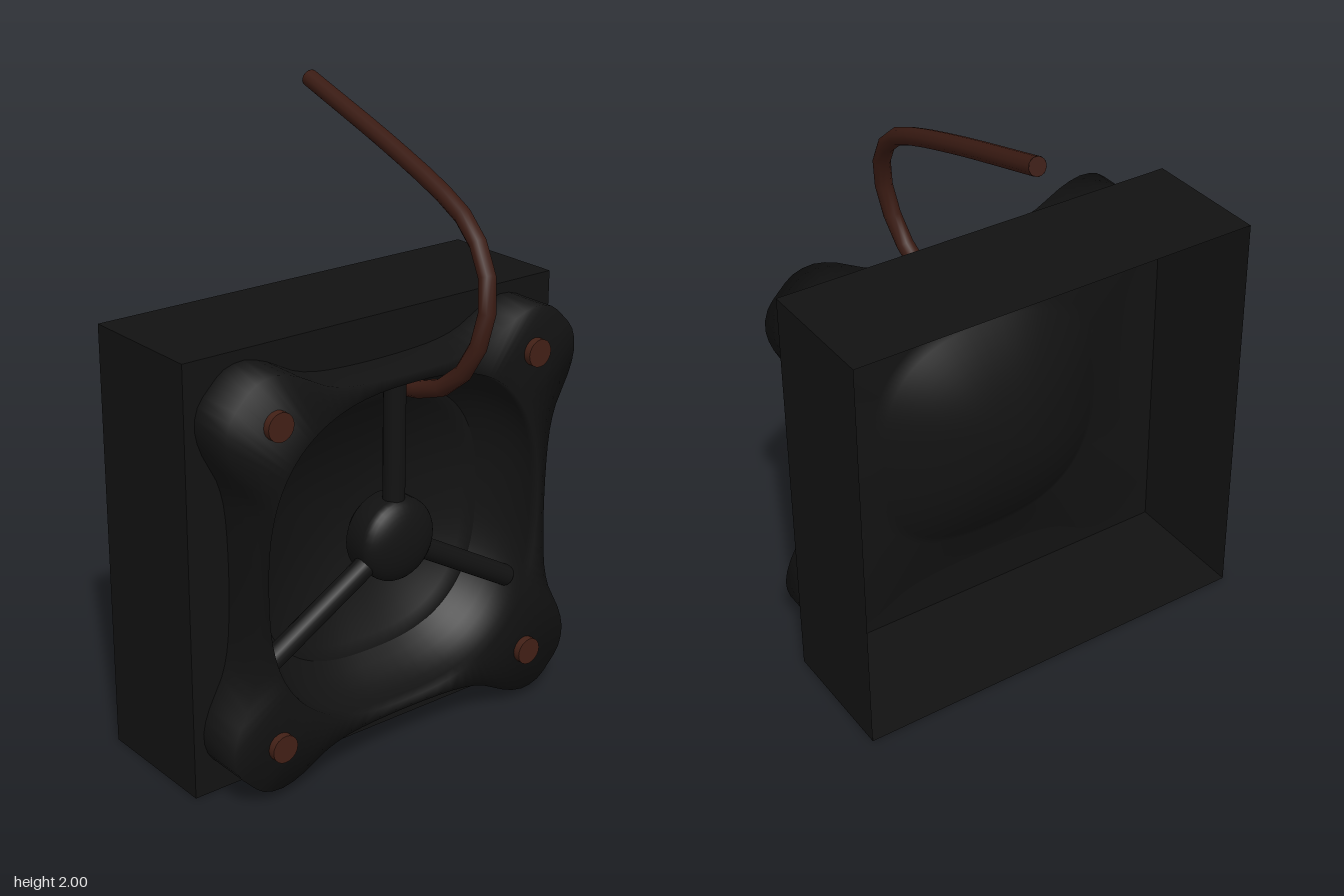
import * as THREE from 'three';

const CY = 0.7;            // height of the speaker centre
const FRONT = 0.15, BACK = -0.29, FACE = 0.31;

function material(color) {
  return new THREE.MeshStandardMaterial({ color, side: THREE.DoubleSide });
}

// Four-lobed frame outline: one eighth, mirrored and turned round the centre
function lobedOutline() {
  const half = [[0.56, 0], [0.563, 0.13], [0.573, 0.24], [0.595, 0.32], [0.642, 0.41],
    [0.665, 0.49], [0.652, 0.56], [0.61, 0.61]];
  const quarter = [...half, ...half.slice(1, -1).reverse().map(([x, y]) => [y, x])];
  const points = [];
  for (let q = 0; q < 4; q++) {
    const c = [1, 0, -1, 0][q], s = [0, 1, 0, -1][q];
    for (const [x, y] of quarter) points.push(new THREE.Vector3(c * x - s * y, s * x + c * y, 0));
  }
  return new THREE.CatmullRomCurve3(points, true).getPoints(112).slice(0, -1);
}

// Rounded-square rim of the bowl, in the direction of a given outline point
function rimPoint(p) {
  const n = 2.6, a = Math.atan2(p.y, p.x);
  const r = 0.53 / Math.pow(Math.abs(Math.cos(a)) ** n + Math.abs(Math.sin(a)) ** n, 1 / n);
  return new THREE.Vector3(r * Math.cos(a), r * Math.sin(a), FACE);
}

// Copy of a ring, scaled about the axis and moved to depth z
function ringAt(ring, scale, z) {
  return ring.map((p) => new THREE.Vector3(p.x * scale, p.y * scale, z));
}

// Skin over a list of closed rings with equal point counts
function loft(rings) {
  const n = rings[0].length, position = [], index = [];
  rings.forEach((ring) => ring.forEach((p) => position.push(p.x, p.y, p.z)));
  for (let i = 0; i < rings.length - 1; i++) {
    for (let j = 0; j < n; j++) {
      const k = (j + 1) % n;
      const a = i * n + j, b = i * n + k, c = b + n, d = a + n;
      index.push(a, b, c, a, c, d);
    }
  }
  const g = new THREE.BufferGeometry();
  g.setAttribute('position', new THREE.Float32BufferAttribute(position, 3));
  g.setIndex(index);
  g.computeVertexNormals();
  return g;
}

export function createModel() {
  const model = new THREE.Group();
  const black = material(0x121212);
  const copper = material(0x422016);
  const cableBrown = material(0x3a1b13);

  const add = (name, geometry, mat, x = 0, y = 0, z = 0, parent = model) => {
    const mesh = new THREE.Mesh(geometry, mat);
    mesh.name = name;
    mesh.position.set(x, y, z);
    parent.add(mesh);
    return mesh;
  };

  // Thin housing, open at the back
  const housing = new THREE.Group();
  housing.name = 'housing';
  housing.position.y = CY;
  model.add(housing);
  const depth = FRONT - BACK, mid = (FRONT + BACK) / 2;
  for (const s of [-1, 1]) {
    const side = new THREE.PlaneGeometry(depth, 1.4).rotateY(s * Math.PI / 2);
    add('housingSide', side, black, s * 0.7, 0, mid, housing);
    const lid = new THREE.PlaneGeometry(1.4, depth).rotateX(-s * Math.PI / 2);
    add(s > 0 ? 'housingTop' : 'housingBottom', lid, black, 0, s * 0.7, mid, housing);
  }

  // Front panel, cut out behind the lobed frame
  const outline = lobedOutline();
  const panel = new THREE.Shape([[-0.7, -0.7], [0.7, -0.7], [0.7, 0.7], [-0.7, 0.7]]
    .map(([x, y]) => new THREE.Vector2(x, y)));
  panel.holes.push(new THREE.Path(outline.map((p) => new THREE.Vector2(p.x, p.y))));
  add('housingFront', new THREE.ShapeGeometry(panel), black, 0, 0, FRONT, housing);

  // Raised frame: outer wall, face and the curved wall inside the rim
  const rim = outline.map(rimPoint);
  const frame = [ringAt(outline, 1, FRONT), ringAt(outline, 1, FACE), rim];
  for (let i = 1; i <= 6; i++) {
    const f = i / 6;
    frame.push(ringAt(rim, 1 - 0.18 * f * f, FACE - 0.19 * f));
  }
  add('frame', loft(frame), black, 0, CY, 0);

  // Bowl closing the back, running out into the four lobes
  const bowl = [ringAt(outline, 1, FRONT)];
  for (let i = 0; i <= 12; i++) {
    const s = 1 - i / 12;
    bowl.push(ringAt(rim, 0.82 * s, -0.03 + 0.15 * s * s));
  }
  add('bowl', loft(bowl), black, 0, CY, 0);

  // Domed hub with three spokes
  const hubProfile = [new THREE.Vector2(0, 0.12), new THREE.Vector2(0.1, 0.13),
    new THREE.Vector2(0.137, 0.17)];
  for (let i = 0; i <= 10; i++) {
    const t = (i / 10) * Math.PI / 2;
    hubProfile.push(new THREE.Vector2(0.137 * Math.cos(t), 0.245 + 0.063 * Math.sin(t)));
  }
  add('hub', new THREE.LatheGeometry(hubProfile, 32).rotateX(Math.PI / 2), black, 0, CY, 0);
  for (let i = 0; i < 3; i++) {
    const spoke = new THREE.CylinderGeometry(0.035, 0.035, 0.55, 16).translate(0, 0.275, 0);
    add('spoke', spoke, black, 0, CY, 0.23).rotation.z = i * Math.PI * 2 / 3;
  }

  // Corner screws
  for (const sx of [-1, 1]) {
    for (const sy of [-1, 1]) {
      const screw = new THREE.CylinderGeometry(0.045, 0.045, 0.035, 20).rotateX(Math.PI / 2);
      add('screw', screw, copper, sx * 0.495, CY + sy * 0.518, 0.3165);
    }
  }

  // Cable: out through the bowl, round the frame and away over the top
  const path = [[1.145, 0.125], [1.165, 0.24], [1.2, 0.335], [1.28, 0.42], [1.4, 0.465],
    [1.52, 0.46], [1.615, 0.41], [1.69, 0.33], [1.745, 0.22], [1.84, -0.05], [1.972, -0.485]];
  const curve = new THREE.CatmullRomCurve3(
    path.map(([y, z]) => new THREE.Vector3(0.09 + 0.167 * (y - 1.125), y, z)));
  add('cable', new THREE.TubeGeometry(curve, 16, 0.028, 10), cableBrown);
  for (const u of [0, 1]) {
    const end = add('cableEnd', new THREE.CircleGeometry(0.028, 10), cableBrown);
    end.position.copy(curve.getPointAt(u));
    end.lookAt(end.position.clone().add(curve.getTangentAt(u).multiplyScalar(u ? 1 : -1)));
  }

  return model;
}
